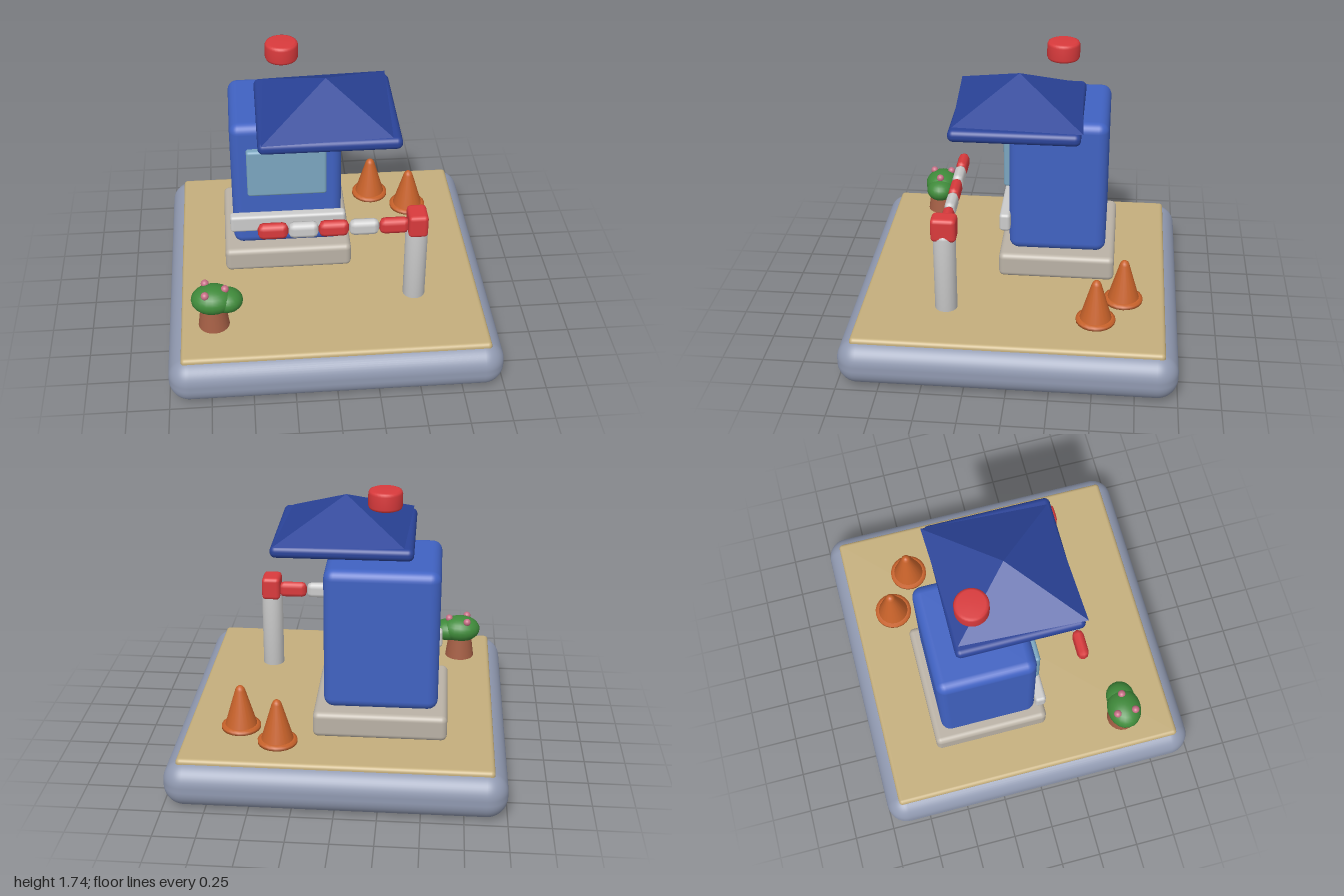
import * as THREE from 'three';
import { RoundedBoxGeometry } from 'three/addons/geometries/RoundedBoxGeometry.js';

const mat = (color, flatShading = false) => new THREE.MeshStandardMaterial({ color, flatShading });
const slate = mat(0x9099b0), sand = mat(0xc4ae7c), stone = mat(0xbab2a6), blue = mat(0x4062c2);
const navy = mat(0x2a4398), navyFlat = mat(0x2a4398, true), glass = mat(0x7ba6c0);
const red = mat(0xd93a3c), white = mat(0xcccccc), orange = mat(0xc8622a);
const terracotta = mat(0xa55f45), leaf = mat(0x3f8a3a), pink = mat(0xc76f86);

export function createModel() {
  const model = new THREE.Group();

  function add(name, geometry, material, x = 0, y = 0, z = 0, parent = model) {
    const mesh = new THREE.Mesh(geometry, material);
    mesh.name = name;
    mesh.position.set(x, y, z);
    parent.add(mesh);
    return mesh;
  }
  // Rounded box given by its min and max on each axis
  function box(name, material, [x0, x1], [y0, y1], [z0, z1], radius, segments = 4) {
    const geometry = new RoundedBoxGeometry(x1 - x0, y1 - y0, z1 - z0, segments, radius);
    return add(name, geometry, material, (x0 + x1) / 2, (y0 + y1) / 2, (z0 + z1) / 2);
  }
  // Solid of revolution with softened corners, from [radius, y] points
  const lathe = (points, sides) =>
    new THREE.LatheGeometry(points.map(([r, y]) => new THREE.Vector2(r, y)), sides);

  // Ground
  box('base', slate, [-1, 1], [0, 0.28], [-1, 1], 0.125, 6);
  box('ground', sand, [-0.92, 0.92], [0.2, 0.3], [-0.92, 0.92], 0.025, 3);

  // Booth
  box('plinth', stone, [-0.64, 0.155], [0.3, 0.46], [-0.6, 0.12], 0.035);
  box('boothBody', blue, [-0.58, 0.095], [0.465, 1.34], [-0.54, 0.06], 0.06);
  box('window', glass, [-0.485, 0], [0.86, 1.185], [0.03, 0.1], 0.018, 3);
  box('counter', white, [-0.6, 0.115], [0.605, 0.72], [0.05, 0.118], 0.02, 3);

  // Roof: eave slab with a slightly skewed pyramid on top
  box('roofEave', navy, [-0.418, 0.418], [1.345, 1.42], [-0.385, 0.385], 0.034);
  const pyramid = new THREE.ConeGeometry(1, 0.2, 4);
  pyramid.scale(0.563, 1, 0.511).rotateY(Math.PI / 4);
  add('roof', pyramid, navyFlat, 0, 1.522, 0);

  // Beacon hovering above the roof
  const beacon = lathe([[0, 0], [0.08, 0], [0.094, 0.006], [0.1, 0.02],
    [0.1, 0.095], [0.094, 0.109], [0.08, 0.115], [0, 0.115]], 32);
  add('beacon', beacon, red, -0.245, 1.625, -0.245);

  // Barrier: post, pivot head and striped arm
  const post = lathe([[0, 0], [0.068, 0], [0.068, 0.49], [0.06, 0.51], [0.045, 0.52], [0, 0.52]], 24);
  add('barrierPost', post, white, 0.516, 0.3, 0.4);
  box('barrierHead', red, [0.458, 0.576], [0.772, 0.922], [0.324, 0.476], 0.025, 2);
  for (let i = 0; i < 5; i++) {
    const x = -0.435 + i * 0.181;
    box('barrierStripe', i % 2 ? white : red, [x, x + 0.181], [0.774, 0.876], [0.365, 0.435], 0.033, 1);
  }

  // Traffic cones
  const coneBody = lathe([[0.1, 0.01], [0.03, 0.25], [0.023, 0.266], [0.012, 0.276], [0, 0.278]], 20);
  const coneFoot = lathe([[0, 0], [0.118, 0], [0.118, 0.018], [0.1, 0.026], [0, 0.026]], 20);
  for (const [x, z] of [[0.355, -0.665], [0.595, -0.505]]) {
    const cone = new THREE.Group();
    cone.name = 'trafficCone';
    cone.position.set(x, 0.302, z);
    add('coneBody', coneBody, orange, 0, 0, 0, cone);
    add('coneFoot', coneFoot, orange, 0, 0, 0, cone);
    model.add(cone);
  }

  // Potted bush with flowers
  const plant = new THREE.Group();
  plant.name = 'pottedBush';
  plant.position.set(-0.72, 0.3, 0.6);
  model.add(plant);
  add('pot', new THREE.CylinderGeometry(0.075, 0.094, 0.14, 20), terracotta, 0, 0.07, 0, plant);
  const ball = new THREE.SphereGeometry(1, 20, 14);
  add('bush', ball, leaf, 0, 0.192, 0, plant).scale.set(0.13, 0.085, 0.107);
  add('bushSide', ball, leaf, 0.085, 0.18, 0, plant).scale.set(0.095, 0.07, 0.09);
  for (const [x, z] of [[-0.043, -0.06], [0.075, 0], [-0.043, 0.056]]) {
    add('flower', ball, pink, x, 0.263, z, plant).scale.setScalar(0.024);
  }

  return model;
}
